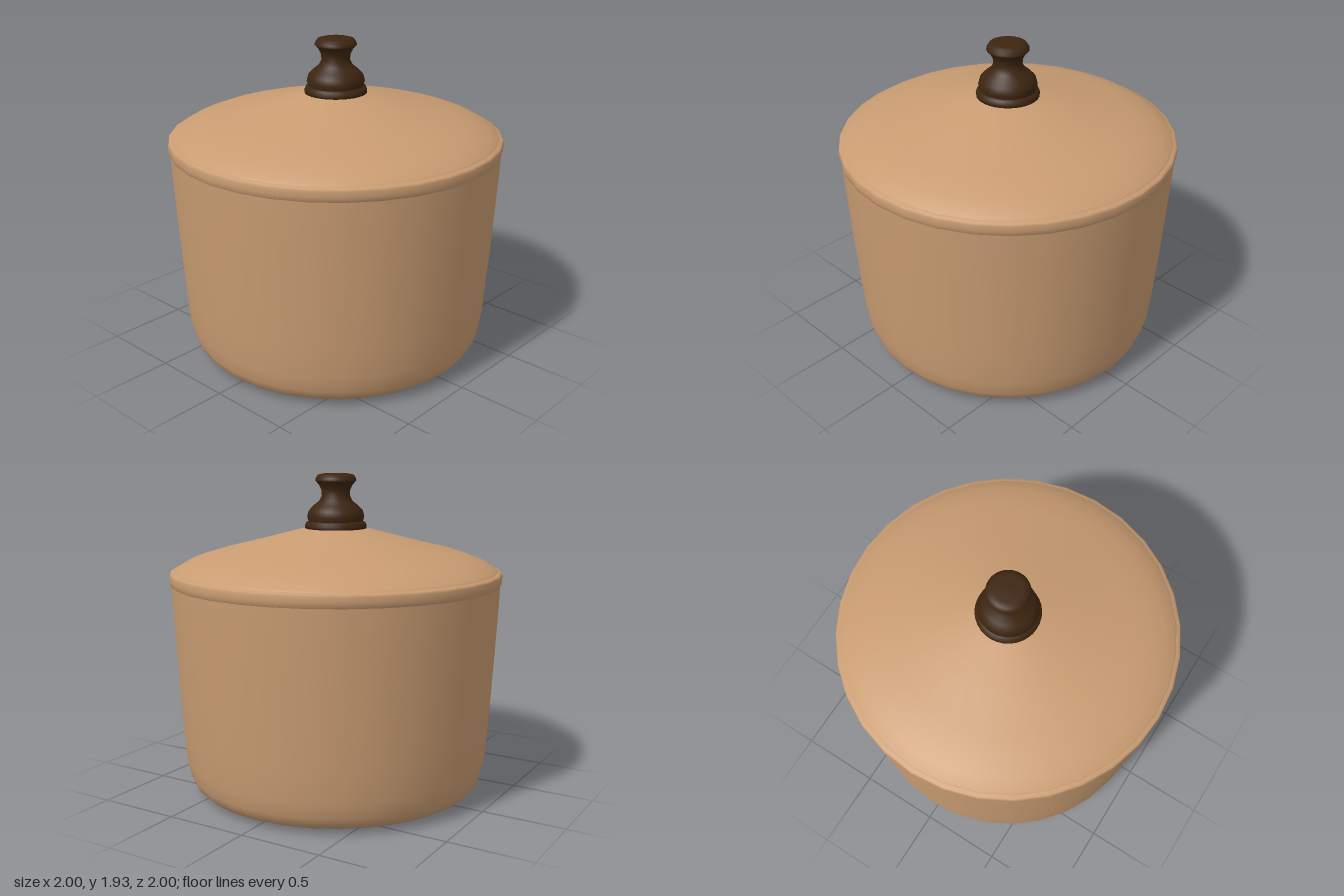
import * as THREE from 'three';

const clay = new THREE.MeshStandardMaterial({ color: 0xc99c72 });
clay.name = 'tan clay';
const wood = new THREE.MeshStandardMaterial({ color: 0x3d2510 });
wood.name = 'dark wood';

// Revolves a profile of [radius, height] points, listed from bottom to top
function turned(name, profile, material, segments = 32) {
  const points = profile.map(([r, y]) => new THREE.Vector2(r, y));
  const mesh = new THREE.Mesh(new THREE.LatheGeometry(points, segments), material);
  mesh.name = name;
  return mesh;
}

export function createModel() {
  const pot = new THREE.Group();
  pot.name = 'lidded pot';

  // Tapered body with a rounded foot and a nearly flat base
  pot.add(turned('base', [[0, 0], [0.4, 0.007], [0.78, 0.015]], clay));
  pot.add(turned('body', [
    [0.76, 0.014], [0.8, 0.018], [0.855, 0.035], [0.885, 0.065], [0.905, 0.11], [0.928, 0.21],
    [0.942, 0.4], [0.955, 0.6], [0.972, 0.9], [0.985, 1.15], [0.99, 1.28],
  ], clay));

  // Slightly proud band around the mouth
  pot.add(turned('rim', [
    [0.985, 1.275], [0.996, 1.285], [1, 1.31], [1, 1.34], [0.994, 1.353], [0.97, 1.36],
  ], clay));

  // Shallow domed lid
  pot.add(turned('lid', [
    [0.976, 1.355], [0.965, 1.37], [0.9, 1.408], [0.81, 1.443], [0.7, 1.475],
    [0.45, 1.537], [0.2, 1.603], [0.12, 1.61], [0, 1.612],
  ], clay));

  // Turned knob: foot ring, bulb, waist and flared cap
  const knob = new THREE.Group();
  knob.name = 'knob';
  knob.add(turned('knobFoot', [
    [0.17, 1.598], [0.185, 1.605], [0.187, 1.62], [0.178, 1.64], [0.16, 1.65],
  ], wood));
  knob.add(turned('knobStem', [
    [0.164, 1.645], [0.172, 1.675], [0.163, 1.71], [0.135, 1.74], [0.1, 1.768],
    [0.084, 1.8], [0.087, 1.835], [0.102, 1.865], [0.123, 1.887],
  ], wood));
  knob.add(turned('knobCap', [
    [0.123, 1.887], [0.122, 1.9], [0.108, 1.922], [0.08, 1.929], [0, 1.93],
  ], wood));
  pot.add(knob);

  return pot;
}
